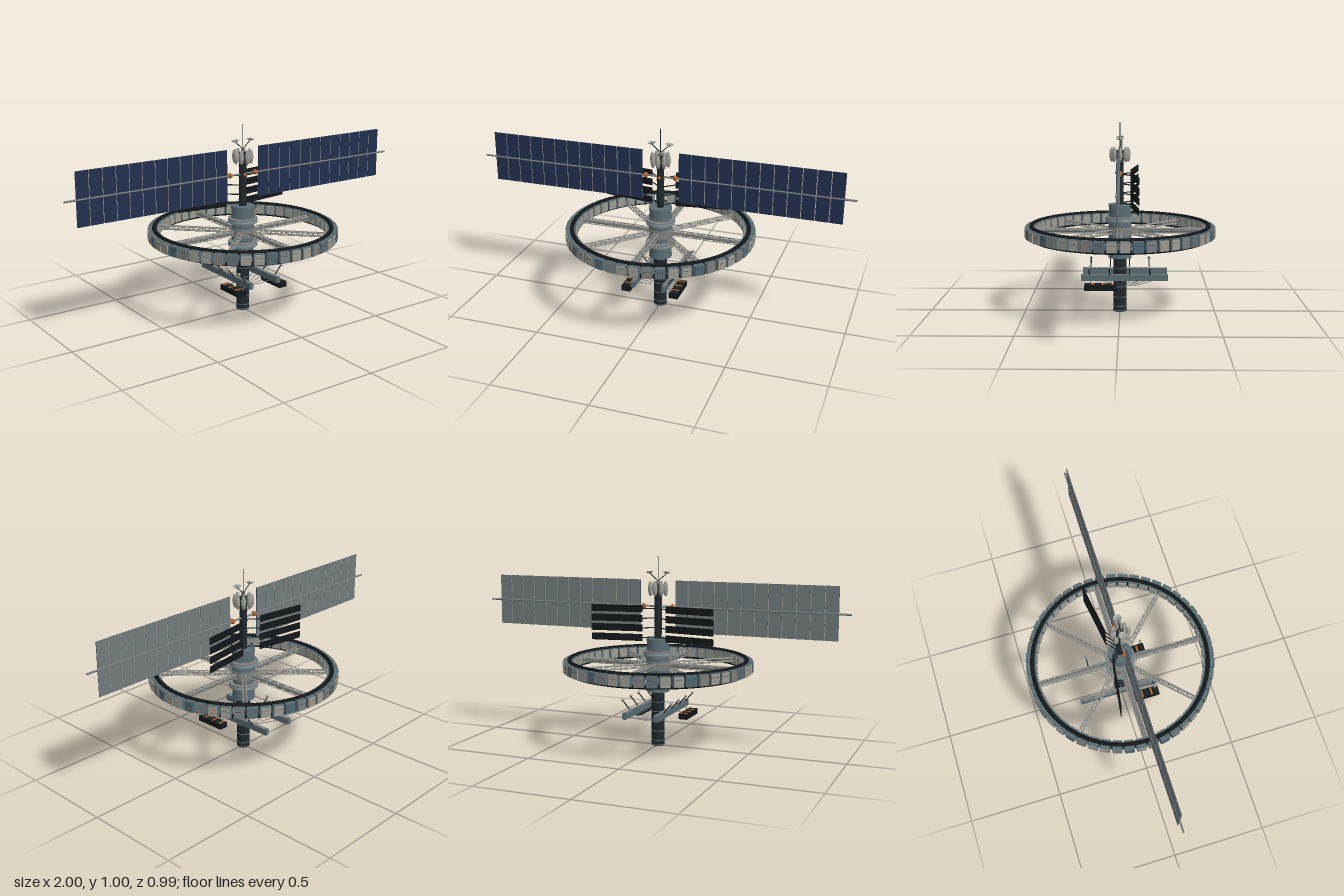
import * as THREE from 'three';

const mat = (color, side = THREE.FrontSide) => new THREE.MeshStandardMaterial({ color, side });
const M = {
  dark: mat(0x20282c), black: mat(0x14181a), teal: mat(0x5b6d73), tealLight: mat(0x7fa3a8),
  pale: mat(0x9c9c94), grey: mat(0x7c7f7e), blue: mat(0x22304f), back: mat(0x717b7d),
  orange: mat(0xb5642f), blueGrey: mat(0x4b6874), dish: mat(0xa2a59e, THREE.DoubleSide),
};

function add(parent, name, geo, material, x = 0, y = 0, z = 0) {
  const m = new THREE.Mesh(geo, material);
  m.name = name;
  m.position.set(x, y, z);
  parent.add(m);
  return m;
}
const box = (p, n, w, h, d, m, x, y, z) => add(p, n, new THREE.BoxGeometry(w, h, d), m, x, y, z);
// upright cylinder between two heights
const drum = (p, n, r, y0, y1, m, seg = 32) =>
  add(p, n, new THREE.CylinderGeometry(r, r, y1 - y0, seg), m, 0, (y0 + y1) / 2, 0);
// round bar between two points
function bar(p, n, a, b, r, m, seg = 6) {
  const A = new THREE.Vector3(...a), B = new THREE.Vector3(...b);
  const mesh = add(p, n, new THREE.CylinderGeometry(r, r, A.distanceTo(B), seg), m);
  mesh.position.copy(A).add(B).multiplyScalar(0.5);
  mesh.quaternion.setFromUnitVectors(new THREE.Vector3(0, 1, 0), B.sub(A).normalize());
  return mesh;
}
function group(parent, name) {
  const g = new THREE.Group();
  g.name = name;
  parent.add(g);
  return g;
}

// central column, hub and collars
function buildCore(root) {
  const g = group(root, 'core');
  drum(g, 'lowerColumn', 0.034, 0, 0.29, M.dark);
  for (const y of [0.005, 0.03, 0.08, 0.135, 0.185, 0.235]) drum(g, 'columnBand', 0.036, y - 0.002, y + 0.002, M.teal);
  drum(g, 'hub', 0.053, 0.34, 0.52, M.teal);
  for (const s of [-1, 1]) {
    const at = (a, b) => s > 0 ? [0.43 + a, 0.43 + b] : [0.43 - b, 0.43 - a];
    drum(g, 'hubDrum', 0.058, ...at(0.083, 0.137), M.teal);
    drum(g, 'hubCap', 0.061, ...at(0.128, 0.14), M.teal);
    drum(g, 'hubBand', 0.061, ...at(0.078, 0.088), M.teal);
    drum(g, 'collar', 0.077, ...at(0.051, 0.075), M.grey);
    drum(g, 'collarStripe', 0.0785, ...at(0.059, 0.066), M.tealLight);
    drum(g, 'spokeRing', 0.06, ...at(0.01, 0.04), M.teal);
  }
  drum(g, 'upperColumn', 0.019, 0.57, 0.85, M.dark);
  for (const y of [0.6, 0.66, 0.72, 0.78]) drum(g, 'upperBand', 0.021, y - 0.002, y + 0.002, M.dark);
  add(g, 'frontLamp', new THREE.SphereGeometry(0.009, 12, 8), M.orange, 0, 0.735, 0.017);
}

// rotating ring of modules with spokes
function buildWheel(root) {
  const wheel = group(root, 'wheel');
  wheel.position.y = 0.43;
  for (const y of [-0.029, 0.029]) {
    const t = add(wheel, 'rim', new THREE.TorusGeometry(0.462, 0.011, 10, 96), M.black, 0, y, 0);
    t.rotation.x = Math.PI / 2;
  }
  const faces = [M.pale, M.grey, M.blueGrey, M.pale, M.teal, M.grey];
  const count = 48;
  for (let i = 0; i < count; i++) {
    const g = group(wheel, 'module');
    g.rotation.y = (i + 0.5) / count * Math.PI * 2;
    const face = faces[(i * 5 + (i >> 2)) % 6];
    box(g, 'moduleBody', 0.052, 0.056, 0.05, M.teal, 0, 0, 0.467);
    box(g, 'moduleFace', 0.046, 0.05, 0.006, face, 0, 0, 0.4935);
    box(g, 'moduleInnerFace', 0.042, 0.046, 0.006, M.pale, 0, 0, 0.44);
    for (let k = -1; k <= 1; k++) {
      box(g, 'window', 0.004, 0.003, 0.003, i % 3 ? M.dark : M.orange, k * 0.012, 0.008, 0.496);
      if (i % 2) box(g, 'lowerWindow', 0.004, 0.003, 0.003, M.orange, k * 0.012, -0.01, 0.496);
    }
  }
  drum(wheel, 'coupling', 0.064, -0.022, 0.022, M.grey);
  for (let i = 0; i < 8; i++) {
    const g = group(wheel, i % 2 ? 'trussSpoke' : 'tubeSpoke');
    g.rotation.y = i * Math.PI / 4;
    const w = i % 2 ? 0.009 : 0.011;
    // four rails braced by zigzags
    for (const x of [-w, w]) for (const y of [-w, w])
      bar(g, 'rail', [x, y, 0.05], [x, y, 0.445], 0.0028, M.pale);
    if (i % 2 === 0) bar(g, 'tunnel', [0, 0, 0.05], [0, 0, 0.445], 0.009, M.grey, 12);
    const bays = 14, step = 0.385 / bays;
    for (let k = 0; k < bays; k++) {
      const z = 0.055 + k * step, s = k % 2 ? 1 : -1;
      for (const e of [-w, w]) {
        bar(g, 'brace', [-w * s, e, z], [w * s, e, z + step], 0.0016, M.grey, 4);
        bar(g, 'brace', [e, -w * s, z], [e, w * s, z + step], 0.0016, M.grey, 4);
      }
    }
  }
}

// solar wing and radiator slats on one side
function buildWing(root, s) {
  const g = group(root, s > 0 ? 'leftWing' : 'rightWing');
  bar(g, 'boom', [0, 0.737, 0], [s, 0.737, 0], 0.005, M.grey, 10);
  const joint = add(g, 'orangeJoint', new THREE.SphereGeometry(0.014, 16, 12), M.orange, s * 0.08, 0.737, 0);
  joint.scale.x = 0.9;
  for (let i = 0; i < 12; i++) {
    const x = s * (0.131 + i * 0.0705);
    box(g, 'panelBack', 0.066, 0.268, 0.002, M.back, x, 0.739, -0.001);
    box(g, 'panelCells', 0.066, 0.268, 0.002, M.blue, x, 0.739, 0.001);
    if (i < 11) box(g, 'panelRib', 0.003, 0.262, 0.002, M.pale, x + s * 0.03525, 0.739, 0);
  }
  for (let i = 0; i < 4; i++) {
    const y = 0.577 + i * 0.05;
    const slat = box(g, 'radiatorSlat', 0.275, 0.036, 0.003, M.black, s * 0.2, y, -0.077);
    slat.rotation.y = s * Math.atan2(0.04, 0.272);
    bar(g, 'radiatorArm', [s * 0.012, y, -0.012], [s * 0.066, y, -0.058], 0.003, M.dark);
  }
}

// docking beam, cargo box, antennas and struts on one side
function buildDock(root, s) {
  const g = group(root, s > 0 ? 'leftDock' : 'rightDock');
  box(g, 'beam', 0.022, 0.032, 0.45, M.teal, s * 0.085, 0.197, -0.025);
  for (let i = 0; i < 15; i++) box(g, 'beamPlate', 0.018, 0.004, 0.022, M.grey, s * 0.085, 0.2125, 0.17 - i * 0.028);
  box(g, 'cargoBox', 0.048, 0.029, 0.162, M.black, s * 0.131, 0.157, 0.1);
  for (let i = 0; i < 6; i++) box(g, 'cargoLid', 0.04, 0.003, 0.01, i % 2 ? M.dark : M.orange, s * 0.131, 0.172, 0.035 + i * 0.026);
  for (const z of [0.05, 0.15]) bar(g, 'cargoArm', [s * 0.09, 0.185, z], [s * 0.12, 0.165, z], 0.003, M.grey);
  for (const z of [0.157, 0.053, -0.05, -0.155]) {
    bar(g, 'antennaPost', [s * 0.092, 0.21, z], [s * 0.133, 0.257, z], 0.003, M.dark);
    const head = box(g, 'antennaHead', 0.013, 0.009, 0.014, M.pale, s * 0.135, 0.261, z);
    head.rotation.z = -s * 0.7;
  }
  for (let i = 0; i < 9; i++) {
    const z = -0.18 + i * 0.04;
    bar(g, 'strut', [s * 0.03, 0.14, z * 0.4], [s * 0.08, 0.183, z], 0.0018, M.grey);
  }
}

// tanks, dishes and mast
function buildTop(root) {
  const g = group(root, 'topCluster');
  for (let i = 0; i < 8; i++) {
    const a = i * Math.PI / 4;
    const t = add(g, 'tank', new THREE.SphereGeometry(0.013, 16, 14), M.pale, 0.042 * Math.sin(a), 0.829, 0.042 * Math.cos(a));
    t.scale.y = 2.9;
    bar(g, 'tankArm', [0, 0.829, 0], [0.04 * Math.sin(a), 0.829, 0.04 * Math.cos(a)], 0.003, M.grey);
  }
  drum(g, 'mastFoot', 0.008, 0.85, 0.87, M.grey, 12);
  drum(g, 'mast', 0.0015, 0.86, 0.995, M.dark, 6);
  add(g, 'mastTip', new THREE.SphereGeometry(0.003, 8, 6), M.grey, 0, 0.993, 0);
  const bowl = [0, 0.007, 0.014, 0.021].map(r => new THREE.Vector2(r, r * r * 24));
  for (const s of [-1, 1]) {
    bar(g, 'dishArm', [0, 0.868, 0], [s * 0.045, 0.907, 0], 0.0022, M.dark);
    const d = add(g, 'dish', new THREE.LatheGeometry(bowl, 20), M.dish, s * 0.046, 0.906, 0);
    d.rotation.z = -s * 0.15;
    bar(g, 'dishFeed', [s * 0.046, 0.906, 0], [s * 0.048, 0.921, 0], 0.001, M.dark);
  }
}

export function createModel() {
  const root = new THREE.Group();
  root.name = 'spaceStation';
  buildCore(root);
  buildWheel(root);
  buildTop(root);
  for (const s of [-1, 1]) {
    buildWing(root, s);
    buildDock(root, s);
  }
  return root;
}
